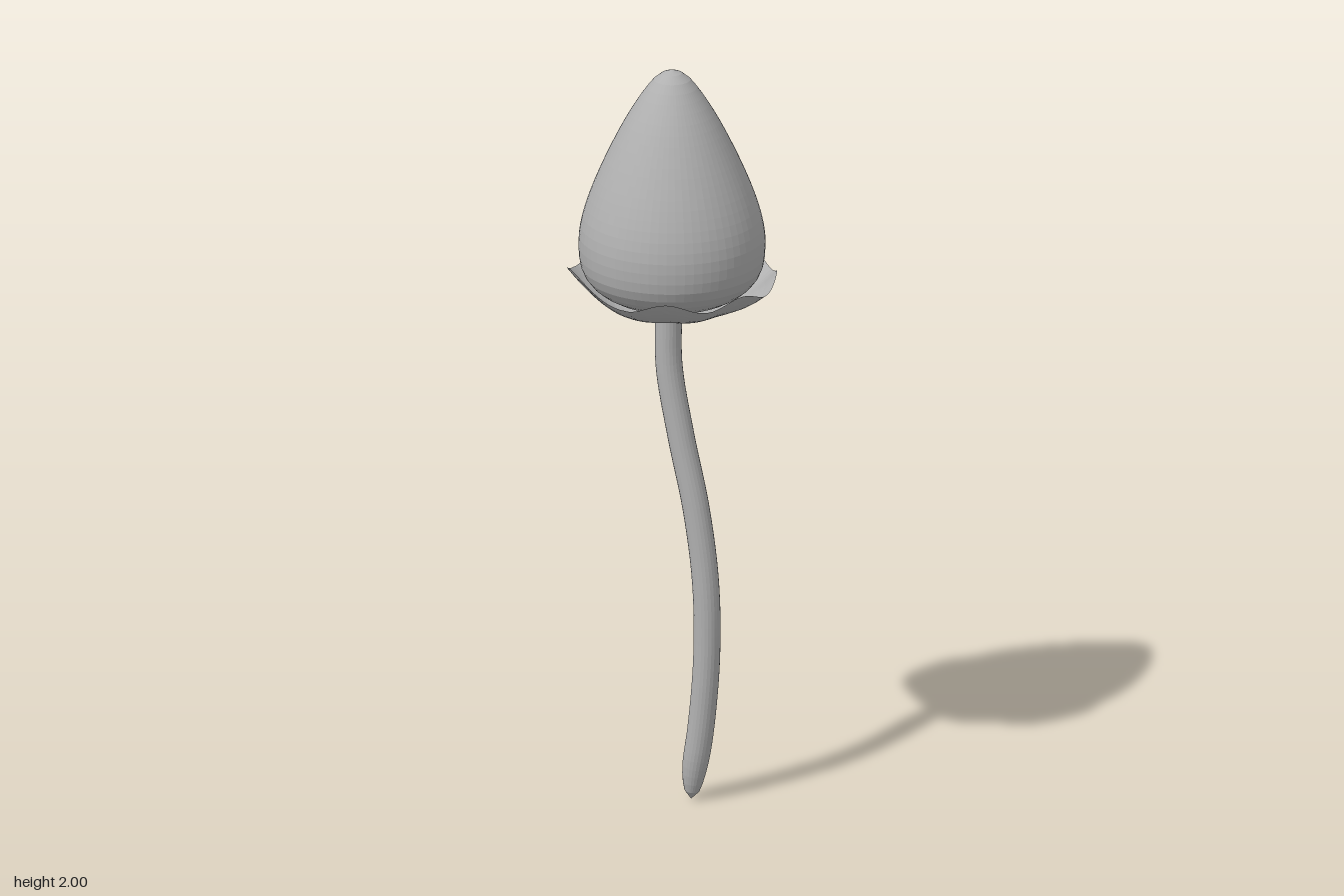
import * as THREE from 'three';

const grey = new THREE.MeshStandardMaterial({ color: 0xb0b0b0, flatShading: true });
grey.name = 'grey';
const greySheet = new THREE.MeshStandardMaterial({ color: 0xb0b0b0, flatShading: true, side: THREE.DoubleSide });
greySheet.name = 'grey sheet';

// Smooth lathe profile through a few [radius, height] points
function lathe(points, steps, segments) {
  const curve = new THREE.SplineCurve(points.map(([r, y]) => new THREE.Vector2(r, y)));
  const profile = curve.getSpacedPoints(steps);
  profile.forEach((p) => { p.x = Math.max(p.x, 0); });
  return new THREE.LatheGeometry(profile, segments);
}

// Egg-shaped bud
function bud() {
  const geometry = lathe([
    [0, 1.35], [0.11, 1.365], [0.19, 1.4], [0.232, 1.45], [0.243, 1.52], [0.235, 1.59],
    [0.21, 1.67], [0.17, 1.765], [0.12, 1.865], [0.07, 1.945], [0.035, 1.985], [0, 2],
  ], 32, 64);
  const mesh = new THREE.Mesh(geometry, grey);
  mesh.name = 'bud';
  return mesh;
}

// Shallow bowl with a ruffled rim and one tall lobe at the front
function ruffle() {
  const geometry = lathe([
    [0, 1.344], [0.08, 1.345], [0.14, 1.351], [0.19, 1.37], [0.235, 1.398], [0.273, 1.433],
  ], 14, 96);
  const pos = geometry.attributes.position;
  for (let i = 0; i < pos.count; i++) {
    const x = pos.getX(i), z = pos.getZ(i);
    const angle = Math.atan2(z, x);
    const inLobe = angle > Math.PI / 2 && angle < Math.PI;
    const wave = inLobe
      ? -0.012 + 0.055 * Math.sin(2 * angle) ** 2
      : -0.013 * Math.cos(8 * angle);
    const strength = (Math.hypot(x, z) / 0.273) ** 4;
    pos.setY(i, pos.getY(i) + wave * strength);
  }
  geometry.computeVertexNormals();
  const mesh = new THREE.Mesh(geometry, greySheet);
  mesh.name = 'ruffle';
  return mesh;
}

// Curved stem, narrowing to a rounded tip at the foot
function stem() {
  const path = new THREE.CatmullRomCurve3([
    [0.055, 0.002], [0.064, 0.08], [0.083, 0.2], [0.1, 0.4], [0.097, 0.6], [0.07, 0.8],
    [0.025, 1.0], [-0.008, 1.18], [-0.01, 1.3], [-0.005, 1.38],
  ].map(([x, y]) => new THREE.Vector3(x, y, 0)));
  const rings = 60, sides = 24, radius = 0.035, tipLength = 0.14;
  const length = path.getLength();
  const geometry = new THREE.TubeGeometry(path, rings, radius, sides);
  const pos = geometry.attributes.position;
  const v = new THREE.Vector3();
  for (let i = 0; i <= rings; i++) {
    const centre = path.getPointAt(i / rings);
    const t = Math.min((i / rings) * length / tipLength, 1);
    const scale = Math.sqrt(1 - (1 - t) ** 2);
    for (let j = 0; j <= sides; j++) {
      const k = i * (sides + 1) + j;
      v.fromBufferAttribute(pos, k).sub(centre).multiplyScalar(scale).add(centre);
      pos.setXYZ(k, v.x, v.y, v.z);
    }
  }
  geometry.computeVertexNormals();
  const mesh = new THREE.Mesh(geometry, grey);
  mesh.name = 'stem';
  return mesh;
}

export function createModel() {
  const group = new THREE.Group();
  group.name = 'budOnStem';
  group.add(bud(), ruffle(), stem());
  return group;
}
